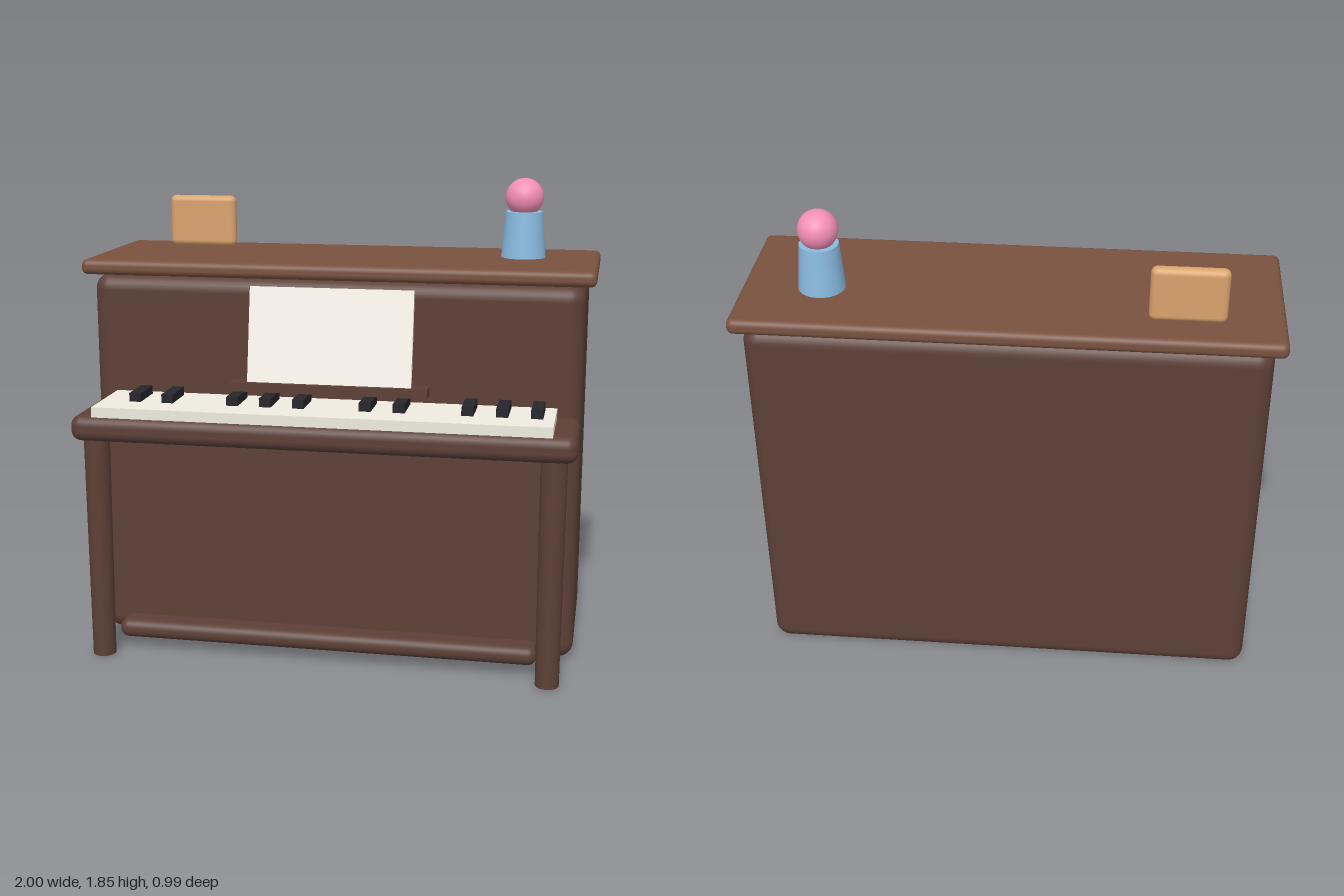
import * as THREE from 'three';
import { RoundedBoxGeometry } from 'three/addons/geometries/RoundedBoxGeometry.js';

const mat = (color) => new THREE.MeshStandardMaterial({ color });

export function createModel() {
  const piano = new THREE.Group();
  piano.name = 'uprightPiano';

  const wood = mat(0x5d4037);
  const lidWood = mat(0x795240);
  const ivory = mat(0xefebe0);
  const ebony = mat(0x26262b);
  const paper = mat(0xfaf6ec);
  const tan = mat(0xd9a26c);
  const blue = mat(0x8abbe0);
  const pink = mat(0xf48fb5);

  const add = (name, geometry, material, x, y, z, parent = piano) => {
    const mesh = new THREE.Mesh(geometry, material);
    mesh.name = name;
    mesh.position.set(x, y, z);
    parent.add(mesh);
    return mesh;
  };
  const rounded = (w, h, d, r) => new RoundedBoxGeometry(w, h, d, 4, r);

  // Cabinet and overhanging lid
  add('cabinet', rounded(1.92, 1.48, 0.64, 0.06), wood, 0, 0.74, -0.145);
  add('lid', rounded(2, 0.06, 0.69, 0.025), lidWood, 0, 1.51, -0.15);

  // Key shelf on two slightly tapered legs, with a rail low down between them
  add('keyShelf', rounded(1.92, 0.1, 0.37, 0.04), wood, 0, 0.93, 0.31);
  for (const side of [-1, 1]) {
    add(side > 0 ? 'leftLeg' : 'rightLeg',
      new THREE.CylinderGeometry(0.05, 0.045, 0.9, 24), wood, side * 0.875, 0.45, 0.42);
  }
  add('bottomRail', rounded(1.66, 0.075, 0.12, 0.035), wood, 0, 0.082, 0.315);

  // Keyboard: one ivory slab with black keys in the 2-3 pattern
  add('whiteKeys', new THREE.BoxGeometry(1.74, 0.04, 0.325), ivory, 0, 0.998, 0.3225);
  const blackKeys = new THREE.Group();
  blackKeys.name = 'blackKeys';
  piano.add(blackKeys);
  const keyGeometry = new THREE.BoxGeometry(0.045, 0.04, 0.152);
  for (const i of [0, 1, 3, 4, 5, 7, 8, 10, 11, 12]) {
    add('blackKey', keyGeometry, ebony, -0.735 + i * 0.1283, 1.031, 0.288, blackKeys);
  }

  // Music ledge with a sheet leaning back against the cabinet
  add('musicLedge', new THREE.BoxGeometry(0.77, 0.035, 0.075), wood, 0, 1.07, 0.227);
  const sheet = add('musicSheet', new THREE.BoxGeometry(0.64, 0.38, 0.02), paper, 0, 1.263, 0.202);
  sheet.rotation.x = -0.18;

  // Ornaments on the lid
  add('pictureFrame', rounded(0.28, 0.21, 0.05, 0.024), tan, -0.645, 1.645, -0.34);
  add('vase', new THREE.CylinderGeometry(0.073, 0.088, 0.18, 32), blue, 0.7, 1.63, -0.212);
  add('ball', new THREE.SphereGeometry(0.075, 32, 20), pink, 0.7, 1.775, -0.212);

  return piano;
}
